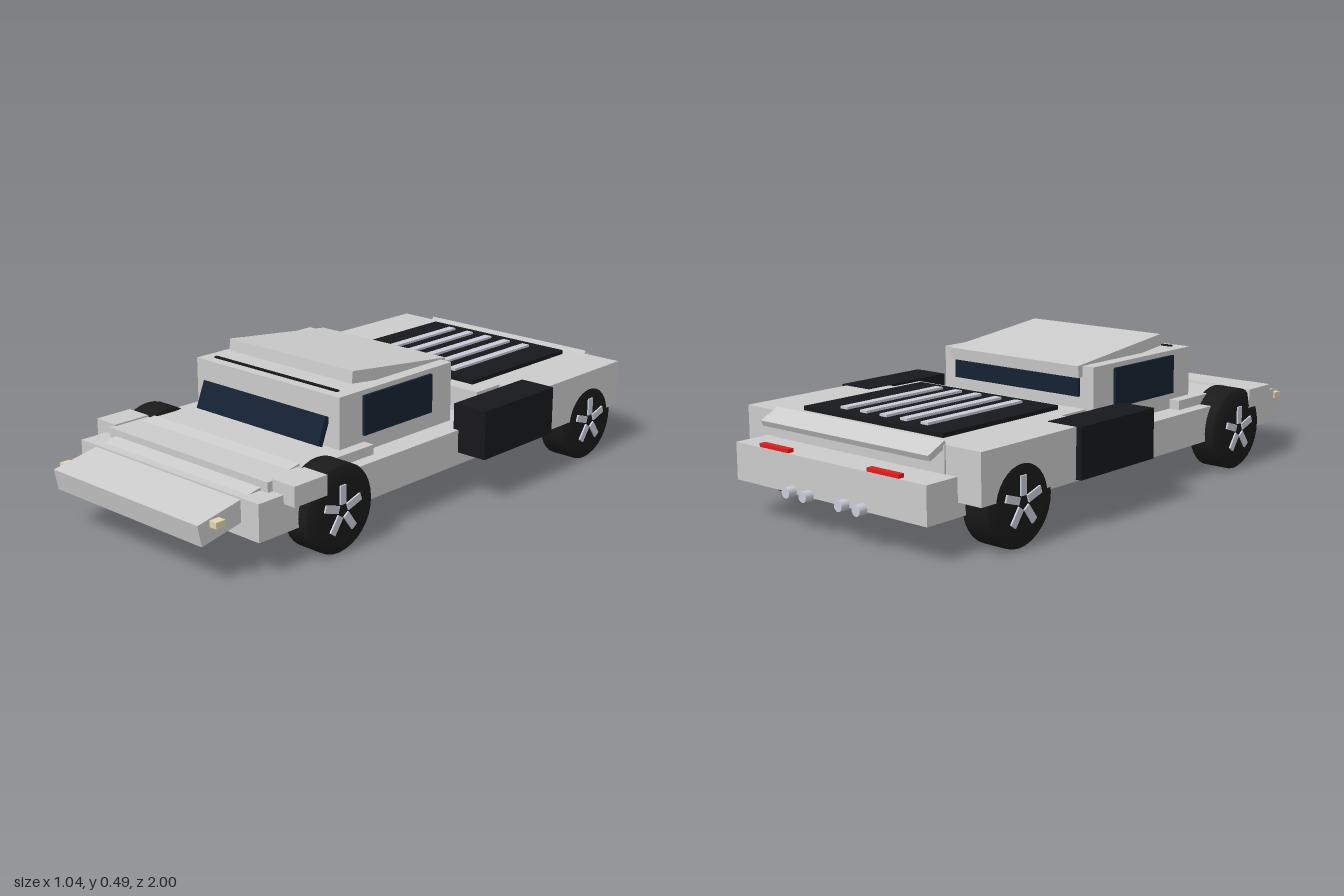
import * as THREE from 'three';

const paint = (color) => new THREE.MeshStandardMaterial({ color });
const grey = paint(0xcccccc), black = paint(0x17181b), rubber = paint(0x1a1a1a), glass = paint(0x152232);
const silver = paint(0xc8ccd8), red = paint(0xdd2020), cream = paint(0xe0d6b0);

export function createModel() {
  const car = new THREE.Group();
  car.name = 'car';

  const add = (name, geometry, material, parent = car) => {
    const mesh = new THREE.Mesh(geometry, material);
    mesh.name = name;
    parent.add(mesh);
    return mesh;
  };

  // Box given by its [min, max] extents on each axis
  const block = (name, [x0, x1], [y0, y1], [z0, z1], material = grey) => {
    const mesh = add(name, new THREE.BoxGeometry(x1 - x0, y1 - y0, z1 - z0), material);
    mesh.position.set((x0 + x1) / 2, (y0 + y1) / 2, (z0 + z1) / 2);
    return mesh;
  };
  const pair = (name, [x0, x1], y, z, material) => {
    block(name + 'Left', [x0, x1], y, z, material);
    block(name + 'Right', [-x1, -x0], y, z, material);
  };

  // Box centred on x = 0 and tilted about x
  const tilted = (name, [w, h, d], y, z, angle, material = grey) => {
    const mesh = add(name, new THREE.BoxGeometry(w, h, d), material);
    mesh.position.set(0, y, z);
    mesh.rotation.x = angle;
    return mesh;
  };

  // Main body
  block('chassis', [-0.41, 0.41], [0.115, 0.235], [-0.97, 0.835]);
  block('hood', [-0.365, 0.365], [0.2, 0.267], [0.3, 0.755]);
  tilted('nose', [0.67, 0.07, 0.413], 0.202, 0.791, 0.192);
  block('rearDeck', [-0.365, 0.365], [0.2, 0.32], [-0.85, -0.21]);
  tilted('tailSpoiler', [0.72, 0.02, 0.075], 0.307, -0.873, -0.45);
  pair('frontFender', [0.36, 0.455], [0.207, 0.272], [0.6, 0.735], grey);
  pair('rearFender', [0.36, 0.5], [0.16, 0.32], [-0.845, -0.33], grey);
  pair('sidePod', [0.39, 0.52], [0.158, 0.322], [-0.425, -0.06], black);

  // Cabin, roof and glass
  block('cabin', [-0.325, 0.325], [0.23, 0.436], [-0.12, 0.412]);
  tilted('roof', [0.56, 0.04, 0.45], 0.443, 0.082, -0.11);
  block('roofSlit', [-0.28, 0.28], [0.43, 0.441], [0.364, 0.376], black);
  tilted('windshield', [0.56, 0.095, 0.02], 0.322, 0.433, -0.38, glass);
  block('rearWindow', [-0.27, 0.27], [0.335, 0.4], [-0.13, -0.11], glass);
  pair('sideWindow', [0.315, 0.335], [0.29, 0.42], [-0.015, 0.308], glass);

  // Engine cover with slats
  block('engineCover', [-0.3, 0.3], [0.31, 0.334], [-0.787, -0.268], black);
  for (let i = -2; i <= 2; i++) {
    const x = -0.005 + i * 0.0865;
    block('engineSlat', [x - 0.015, x + 0.015], [0.325, 0.342], [-0.74, -0.315], silver);
  }

  // Lights and exhausts
  pair('headlight', [0.32, 0.364], [0.181, 0.201], [0.92, 0.956], cream);
  pair('taillight', [0.17, 0.3], [0.23, 0.247], [-0.968, -0.946], red);
  for (const x of [-0.155, -0.08, 0.075, 0.15]) {
    const pipe = add('exhaust', new THREE.CylinderGeometry(0.017, 0.017, 0.05, 16), silver);
    pipe.rotation.x = Math.PI / 2;
    pipe.position.set(x, 0.122, -0.975);
  }

  // Wheel: tyre with narrowed sidewalls, axle along y before turning
  const profile = [[0, -0.06], [0.1, -0.06], [0.135, -0.052], [0.142, -0.045], [0.142, 0.045],
    [0.135, 0.052], [0.1, 0.06], [0, 0.06]].map(([r, y]) => new THREE.Vector2(r, y));
  const tyreGeometry = new THREE.LatheGeometry(profile, 32);
  const wheel = (name, side, x, z) => {
    const group = new THREE.Group();
    group.name = name;
    group.position.set(side * x, 0.142, z);
    add('tyre', tyreGeometry, rubber, group).rotation.z = Math.PI / 2;
    for (let i = 0; i < 5; i++) {
      const spoke = new THREE.Group();
      spoke.rotation.x = i * Math.PI * 2 / 5;
      add('spoke', new THREE.BoxGeometry(0.012, 0.06, 0.024), silver, spoke)
        .position.set(side * 0.06, 0.05, 0);
      group.add(spoke);
    }
    car.add(group);
  };
  for (const [side, label] of [[1, 'Left'], [-1, 'Right']]) {
    wheel('frontWheel' + label, side, 0.394, 0.535);
    wheel('rearWheel' + label, side, 0.443, -0.672);
  }
  return car;
}
